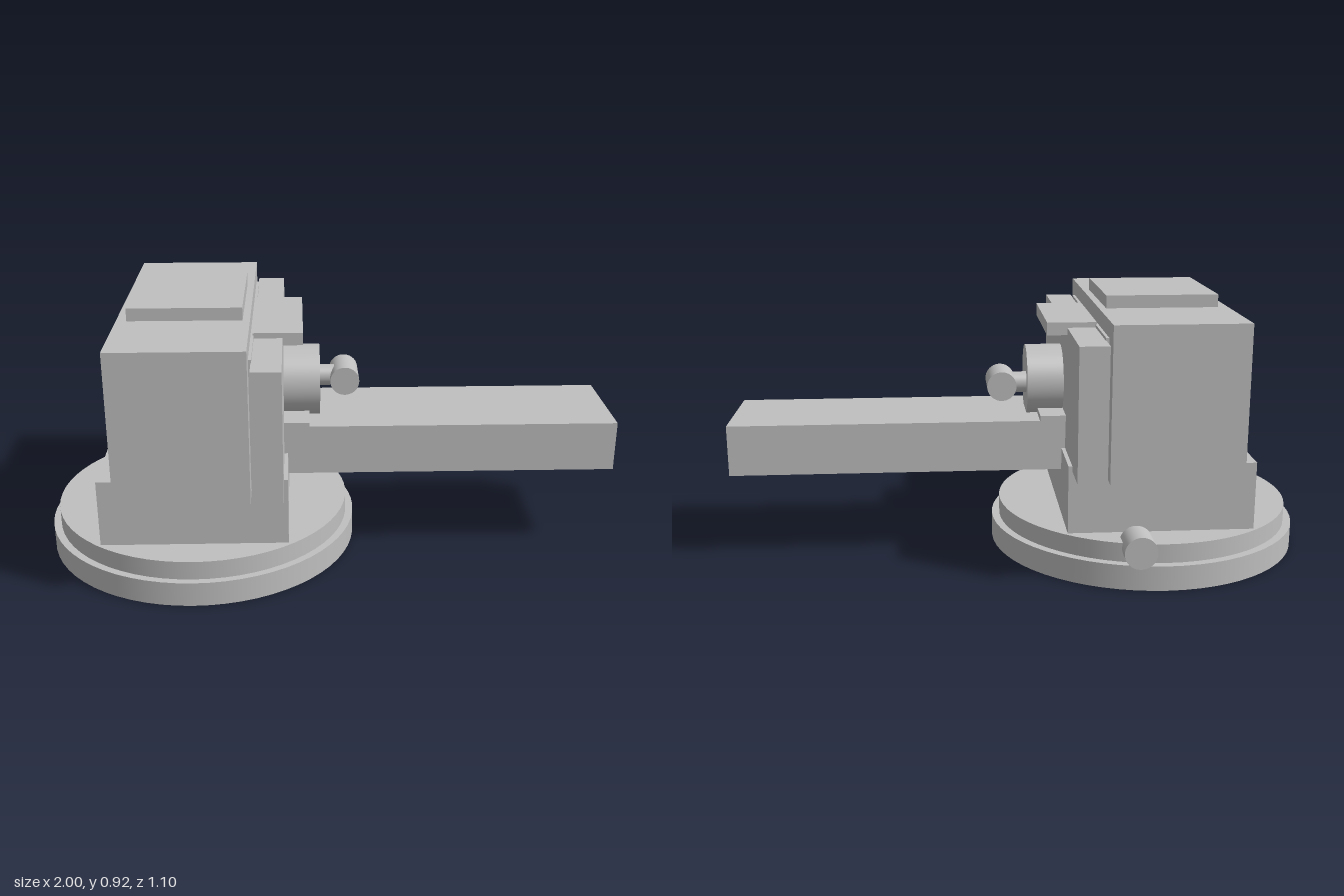
import * as THREE from 'three';

export function createModel() {
  const model = new THREE.Group();
  const grey = new THREE.MeshStandardMaterial({ color: 0xbfbfbf });
  grey.name = 'plain grey';

  const add = (name, geometry, x, y, z) => {
    const mesh = new THREE.Mesh(geometry, grey);
    mesh.name = name;
    mesh.position.set(x, y, z);
    model.add(mesh);
  };

  // Box given by its limits along each axis
  const box = (name, [x0, x1], [y0, y1], [z0, z1]) =>
    add(name, new THREE.BoxGeometry(x1 - x0, y1 - y0, z1 - z0),
      (x0 + x1) / 2, (y0 + y1) / 2, (z0 + z1) / 2);

  // Cylinder along a chosen axis, placed by its centre
  const cylinder = (name, axis, radius, length, x, y, z) => {
    const geometry = new THREE.CylinderGeometry(radius, radius, length, 64);
    if (axis === 'x') geometry.rotateZ(-Math.PI / 2);
    if (axis === 'z') geometry.rotateX(Math.PI / 2);
    add(name, geometry, x, y, z);
  };

  // Round stepped base with its locking knob at the back
  cylinder('baseDisc', 'y', 0.547, 0.085, -0.453, 0.0425, 0.002);
  cylinder('turntable', 'y', 0.52, 0.065, -0.453, 0.1175, 0.004);
  cylinder('lockKnob', 'z', 0.055, 0.11, -0.362, 0.133, -0.495);

  // Pedestal, main housing and its lid
  box('pedestal', [-0.77, -0.14], [0.15, 0.383], [-0.395, 0.403]);
  box('housing', [-0.695, -0.258], [0.362, 0.875], [-0.528, 0.532]);
  box('lid', [-0.66, -0.282], [0.875, 0.918], [-0.21, 0.22]);

  // Side plate, held off the housing by a thin spacer
  box('spacer', [-0.26, -0.248], [0.375, 0.82], [-0.445, 0.45]);
  box('sidePlate', [-0.25, -0.153], [0.366, 0.81], [-0.53, 0.537]);
  box('upperLedge', [-0.252, -0.085], [0.785, 0.828], [-0.205, 0.213]);
  box('lowerLedge', [-0.155, -0.065], [0.483, 0.503], [-0.195, 0.205]);

  // Long arm reaching out to the side
  box('arm', [-0.155, 1.0], [0.307, 0.482], [-0.18, 0.19]);

  // Round boss with an off-centre stem and cross handle
  cylinder('boss', 'x', 0.125, 0.13, -0.092, 0.588, 0.005);
  cylinder('handleStem', 'x', 0.037, 0.1, 0.012, 0.588, -0.037);
  cylinder('handle', 'z', 0.051, 0.143, 0.062, 0.588, -0.037);

  return model;
}
